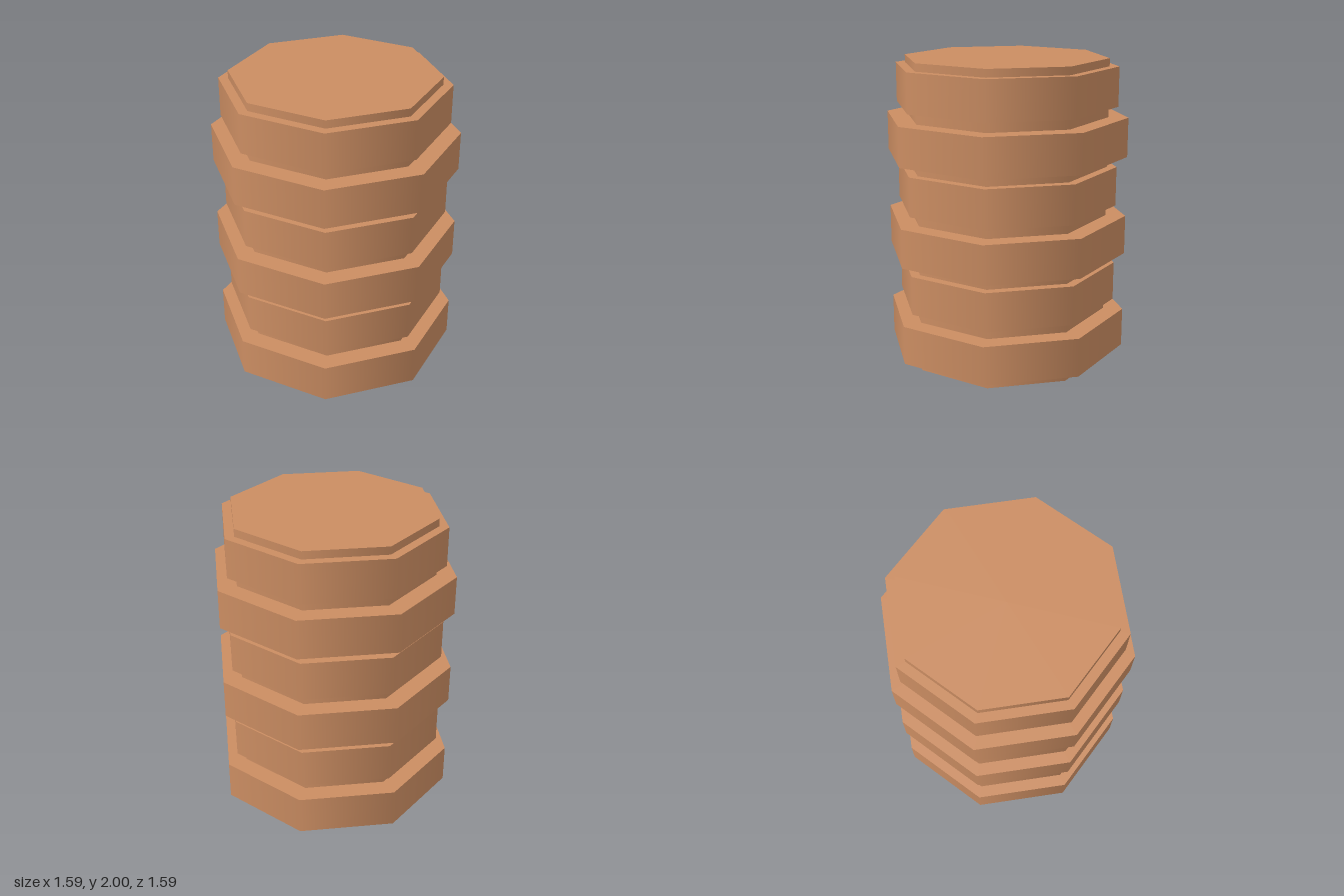
import * as THREE from 'three';

export function createModel() {
  const model = new THREE.Group();
  const copper = new THREE.MeshStandardMaterial({ color: 0xcb8d62 });
  copper.name = 'copper';

  // Eight-sided drum with smooth-shaded sides, standing on the given base height
  const addDrum = (name, radius, height, base) => {
    const mesh = new THREE.Mesh(new THREE.CylinderGeometry(radius, radius, height, 8), copper);
    mesh.name = name;
    mesh.position.y = base + height / 2;
    model.add(mesh);
  };

  // Central core
  addDrum('core', 0.665, 2, 0);

  // Six evenly spaced bands, alternating wide and narrow
  for (let i = 0; i < 6; i++) {
    const wide = i % 2 === 0;
    addDrum(wide ? 'wideBand' : 'narrowBand', wide ? 0.793 : 0.727, 0.255, 0.077 + i * 0.3235);
  }

  return model;
}
